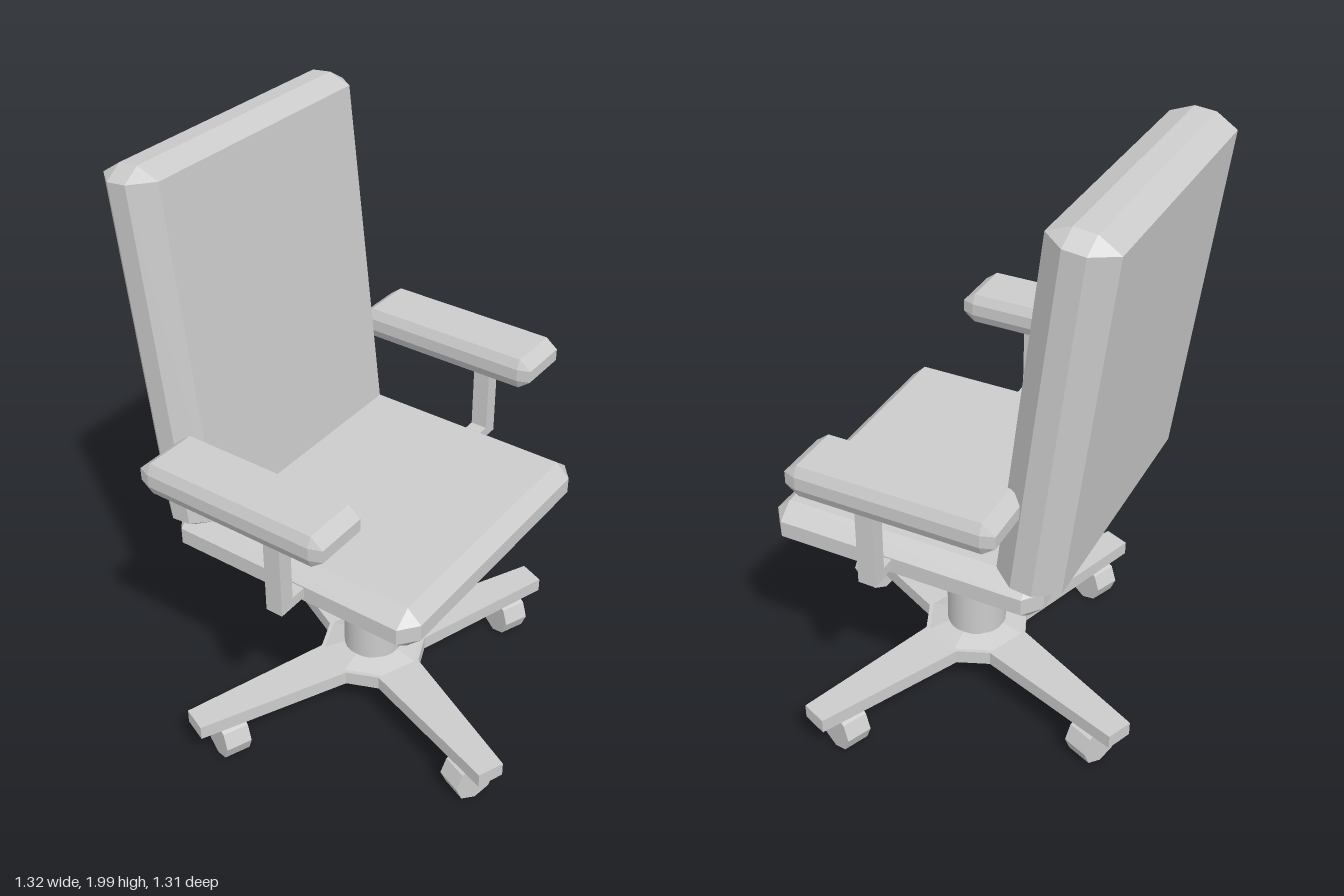
import * as THREE from 'three';
import { ConvexGeometry } from 'three/addons/geometries/ConvexGeometry.js';

const flat = new THREE.MeshStandardMaterial({ color: 0xcccccc, flatShading: true });
const smooth = new THREE.MeshStandardMaterial({ color: 0xcccccc });

function add(parent, name, geometry, material, x = 0, y = 0, z = 0) {
  const mesh = new THREE.Mesh(geometry, material);
  mesh.name = name;
  mesh.position.set(x, y, z);
  parent.add(mesh);
  return mesh;
}

// Box with every edge and corner chamfered by (cx, cy, cz)
function chamferBox(w, h, d, cx, cy, cz) {
  const points = [];
  for (const sx of [-0.5, 0.5]) for (const sy of [-0.5, 0.5]) for (const sz of [-0.5, 0.5]) {
    const [x, y, z] = [sx * w, sy * h, sz * d];
    const [ix, iy, iz] = [x - 2 * sx * cx, y - 2 * sy * cy, z - 2 * sz * cz];
    points.push(new THREE.Vector3(x, iy, iz), new THREE.Vector3(ix, y, iz), new THREE.Vector3(ix, iy, z));
  }
  return new ConvexGeometry(points);
}

// Four-legged star plate with short flats between the legs
function starBase(count) {
  const outline = [];
  for (let i = 0; i < count; i++) {
    const a = -Math.PI / 8 + (i * 2 * Math.PI) / count;
    for (const [along, side] of [[0.16, -0.08], [0.69, -0.046], [0.69, 0.046], [0.16, 0.08]]) {
      outline.push(new THREE.Vector2(along, side).rotateAround(new THREE.Vector2(), a));
    }
  }
  const geometry = new THREE.ExtrudeGeometry(new THREE.Shape(outline), { depth: 0.05, bevelEnabled: false });
  return geometry.rotateX(-Math.PI / 2);
}

export function createModel() {
  const model = new THREE.Group();
  model.name = 'officeChair';

  // Seat and reclined backrest
  add(model, 'seat', chamferBox(0.985, 0.145, 0.905, 0.058, 0.045, 0.047), flat, 0.005, 0.8025, 0.0125);
  const back = add(model, 'backrest', chamferBox(0.985, 1.175, 0.207, 0.058, 0.036, 0.07), flat, 0.005, 1.409, -0.45);
  back.rotation.x = -0.108;

  // Armrests on L-shaped brackets
  for (const s of [1, -1]) {
    const arm = new THREE.Group();
    arm.name = s > 0 ? 'leftArm' : 'rightArm';
    model.add(arm);
    add(arm, 'armPad', chamferBox(0.203, 0.105, 0.662, 0.015, 0.032, 0.041), flat, s * 0.554, 1.138, -0.05);
    add(arm, 'armPost', new THREE.BoxGeometry(0.052, 0.3, 0.058), flat, s * 0.567, 0.94, 0.058);
    add(arm, 'armBracket', new THREE.BoxGeometry(0.12, 0.035, 0.058), flat, s * 0.5, 0.8075, 0.058);
  }

  // Swivel base
  const base = new THREE.Group();
  base.name = 'swivelBase';
  base.position.x = -0.008;
  model.add(base);
  add(base, 'column', new THREE.CylinderGeometry(0.052, 0.052, 0.36, 24), smooth, 0, 0.56, 0);
  add(base, 'housingShoulder', new THREE.CylinderGeometry(0.06, 0.1, 0.03, 24), smooth, 0, 0.4, 0);
  add(base, 'housing', new THREE.CylinderGeometry(0.1, 0.1, 0.175, 24), smooth, 0, 0.2975, 0);
  add(base, 'hubFlare', new THREE.CylinderGeometry(0.1, 0.17, 0.02, 8), flat, 0, 0.21, 0);
  add(base, 'starLegs', starBase(4), flat, 0, 0.15, 0);

  // Casters with their axles along the legs
  const wheel = new THREE.CylinderGeometry(0.075, 0.075, 0.09, 8).rotateX(Math.PI / 2);
  for (let i = 0; i < 4; i++) {
    const a = Math.PI * (3 / 8 + i / 2);
    const caster = add(base, 'caster', wheel, flat, 0.57 * Math.sin(a), 0.078, 0.57 * Math.cos(a));
    caster.rotation.y = a;
  }
  return model;
}
